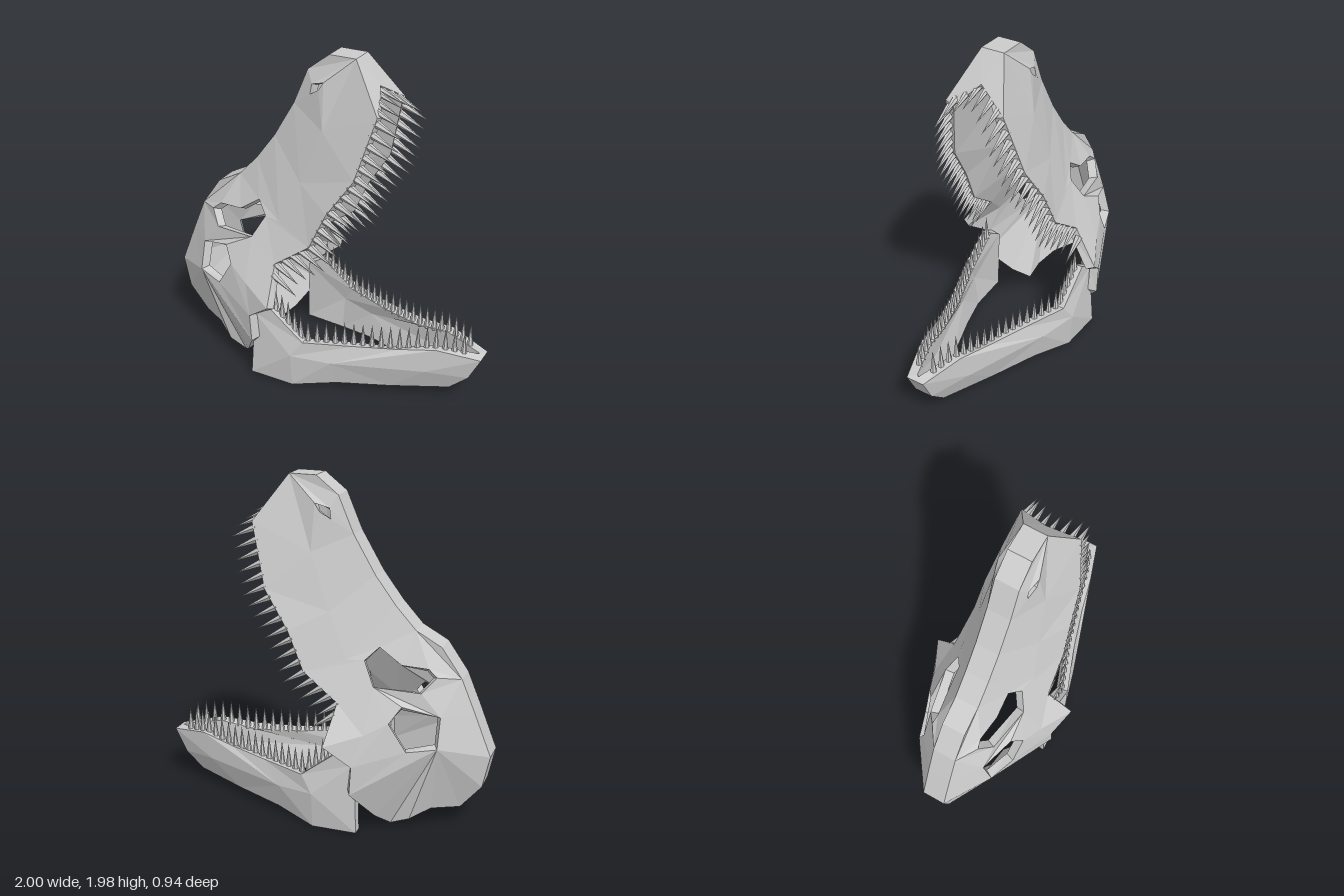
import * as THREE from 'three';

const material = new THREE.MeshStandardMaterial({ color: 0xcccccc, flatShading: true });

// Names a row of points: row('R', [[x, y, z], ...]) gives { R0: Vector3, R1: ... }
const row = (prefix, list) =>
  Object.fromEntries(list.map((p, i) => [prefix + i, new THREE.Vector3(...p)]));

// Symmetric thick shell. Patches are outlines (with optional hole) of the +z side,
// spine is the run of points joined across to the mirrored side.
function makeShell(name, points, patches, spine, thickness, extra = []) {
  const keys = Object.keys(points);
  const n = keys.length;
  const id = (k) => (k.endsWith('-') ? keys.indexOf(k.slice(0, -1)) + n : keys.indexOf(k));
  const outer = keys.map((k) => points[k]);
  outer.push(...outer.map((p) => new THREE.Vector3(p.x, p.y, -p.z)));
  const faces = [];

  // side panels and their mirror image
  for (const [outline, hole = ''] of patches) {
    const rings = [outline, hole].map((s) => s.split(' ').filter(Boolean));
    const [contour, inside] = rings.map((r) => r.map((k) => new THREE.Vector2(points[k].x, points[k].y)));
    const ids = rings.flat().map(id);
    const flat = [...contour, ...inside];
    for (const t of THREE.ShapeUtils.triangulateShape(contour, inside.length ? [inside] : [])) {
      if (THREE.ShapeUtils.area(t.map((i) => flat[i])) < 0) t.reverse();
      const [a, b, c] = t.map((i) => ids[i]);
      faces.push([a, b, c], [c + n, b + n, a + n]);
    }
  }
  // strip across the middle
  for (let i = 0; i + 1 < spine.length; i++) {
    const a = id(spine[i]), b = id(spine[i + 1]);
    faces.push([b, a, a + n], [b, a + n, b + n]);
  }
  for (const f of extra) faces.push(f.split(' ').map(id));

  // inner skin, offset along the averaged normals
  const skin = new THREE.BufferGeometry().setFromPoints(outer);
  skin.setIndex(faces.flat());
  skin.computeVertexNormals();
  const normal = skin.getAttribute('normal');
  const inner = outer.map((p, i) =>
    new THREE.Vector3().fromBufferAttribute(normal, i).multiplyScalar(-thickness).add(p));

  // inner faces, and walls along every open edge
  const m = 2 * n;
  const index = [...faces];
  const edges = new Set(faces.flatMap(([a, b, c]) => [`${a}_${b}`, `${b}_${c}`, `${c}_${a}`]));
  for (const [a, b, c] of faces) {
    index.push([c + m, b + m, a + m]);
    for (const [p, q] of [[a, b], [b, c], [c, a]]) {
      if (!edges.has(`${q}_${p}`)) index.push([q, p, p + m], [q, p + m, q + m]);
    }
  }
  const solid = new THREE.BufferGeometry().setFromPoints([...outer, ...inner]);
  solid.setIndex(index.flat());
  const geometry = solid.toNonIndexed();
  geometry.computeVertexNormals();
  const mesh = new THREE.Mesh(geometry, material);
  mesh.name = name;
  // point on the rim between outer and inner skin, used to seat the teeth
  const rim = (k, depth) => outer[id(k)].clone().lerp(inner[id(k)], depth);
  return { mesh, rim };
}

// Evenly spaced conical teeth along a path, mirrored to both sides
function makeTeeth(name, path, count, radius, length, direction) {
  const group = new THREE.Group();
  group.name = name;
  const cone = new THREE.ConeGeometry(radius, length, 6).translate(0, length / 2 - 0.015, 0);
  const curve = new THREE.CurvePath();
  for (let i = 0; i + 1 < path.length; i++) curve.add(new THREE.LineCurve3(path[i], path[i + 1]));
  const up = new THREE.Vector3(0, 1, 0);
  for (let i = 0; i < count; i++) {
    const t = (i + 0.5) / count;
    const p = curve.getPointAt(t);
    for (const side of [1, -1]) {
      const tooth = new THREE.Mesh(cone, material);
      tooth.name = 'tooth';
      tooth.position.set(p.x, p.y, p.z * side);
      tooth.quaternion.setFromUnitVectors(up, direction(t).normalize());
      group.add(tooth);
    }
  }
  return group;
}

export function createModel() {
  const model = new THREE.Group();
  model.name = 'dinosaurSkull';

  // Skull: ridge, tooth and cheek edge, nostril, upper opening, eye socket, mid panel
  const ridge = [[0.2, 1.98], [0.04, 1.98], [-0.09, 1.88], [-0.18, 1.67], [-0.31, 1.45], [-0.43, 1.29],
    [-0.55, 1.16], [-0.7, 1.08], [-0.82, 0.91], [-0.9, 0.72], [-1, 0.47], [-0.96, 0.28], [-0.84, 0.135]];
  const skullPoints = {
    ...row('R', ridge.map(([x, y]) => [x, y, 0.07])),
    ...row('E', [[0.38, 1.72, 0.18], [0.28, 1.36, 0.25], [0.13, 1.14, 0.28], [0.03, 0.92, 0.3],
      [-0.18, 0.77, 0.32], [-0.15, 0.56, 0.47], [-0.3, 0.44, 0.42], [-0.29, 0.27, 0.42],
      [-0.4, 0.1, 0.29], [-0.47, 0.03, 0.21], [-0.58, 0.075, 0.21], [-0.69, 0.135, 0.15]]),
    ...row('N', [[-0.06, 1.75, 0.105], [-0.05, 1.81, 0.1], [0.03, 1.835, 0.12], [0, 1.79, 0.12]]),
    ...row('A', [[-0.7, 0.93, 0.15], [-0.65, 0.97, 0.14], [-0.5, 0.98, 0.16], [-0.37, 1.07, 0.16],
      [-0.3, 1, 0.21], [-0.37, 0.87, 0.26], [-0.63, 0.85, 0.21]]),
    ...row('O', [[-0.74, 0.72, 0.2], [-0.54, 0.78, 0.27], [-0.48, 0.69, 0.32],
      [-0.58, 0.53, 0.305], [-0.74, 0.55, 0.25]]),
    ...row('M', [[0.04, 1.57, 0.155], [-0.08, 1.25, 0.19], [-0.2, 1, 0.23], [-0.35, 0.62, 0.37]]),
    ...row('C', [[0.31, 1.83, 0]]),
  };
  const skull = makeShell('skull', skullPoints, [
    ['R0 R1 R2 R3 M0 E0', 'N0 N1 N2 N3'],
    ['R3 R4 M1 M0'], ['M0 M1 E1 E0'], ['M1 M2 E3 E2 E1'],
    ['R4 R5 R6 A3 A4 M2 M1'],
    ['R6 R7 R8 A0 A1 A2 A3'],
    ['R8 R9 O0 O1 A5 A6 A0'],
    ['A4 A5 E4 E3'], ['A4 E3 M2'], ['A5 O1 O2 M3 E4'],
    ['M3 E6 E5 E4'], ['O2 O3 E6 M3'],
    ['R9 R10 O4 O0'], ['O4 R10 R11'], ['O4 R11 R12'],
    ['O4 R12 E11'], ['O4 E11 E10'], ['O4 E10 E9'], ['O4 E9 E8'], ['O4 E8 E7'], ['O4 E7 O3'], ['O3 E7 E6'],
  ], ridge.map((_, i) => 'R' + i), 0.055, ['R0 E0 C0', 'R0 C0 R0-', 'R0- C0 E0-']);
  model.add(skull.mesh);

  // Lower jaw: top edge, bottom edge, mid crease
  const jaw = makeShell('lowerJaw', {
    ...row('T', [[-0.3, 0.43, 0.36], [-0.2, 0.49, 0.36], [0.02, 0.32, 0.365], [0.3, 0.32, 0.26],
      [0.55, 0.335, 0.185], [0.76, 0.365, 0.135], [1, 0.32, 0.055]]),
    ...row('B', [[-0.32, 0.02, 0.385], [-0.05, 0.005, 0.37], [0.2, 0.045, 0.28],
      [0.5, 0.055, 0.17], [0.82, 0.08, 0.055], [0.93, 0.18, 0.055]]),
    ...row('M', [[-0.05, 0.22, 0.39], [0.18, 0.2, 0.325], [0.7, 0.21, 0.155]]),
  }, [
    ['T0 B0 M0 T2 T1'], ['B0 B1 M0'], ['B1 M1 M0'], ['B1 B2 M1'], ['M0 M1 T3 T2'],
    ['M1 B2 B3 M2'], ['M1 M2 T5 T4 T3'], ['M2 B3 B4 B5'], ['M2 B5 T6 T5'],
  ], ['B4', 'B5', 'T6'], 0.06);
  model.add(jaw.mesh);

  // Teeth
  const rimPath = (part, names, depth) => names.split(' ').map((k) => part.rim(k, depth));
  const upperPath = rimPath(skull, 'E5 E4 E3 E2 E1 E0', 0.45);
  upperPath[0].lerp(upperPath[1], 0.6);
  const upperDirection = (t) => new THREE.Vector3(0.78 + 0.12 * t, -0.56 + 0.16 * t, 0);
  const frontPath = rimPath(skull, 'E0 C0', 0.45);
  model.add(
    makeTeeth('upperTeeth', upperPath, 19, 0.024, 0.185, upperDirection),
    makeTeeth('frontTeeth', frontPath, 3, 0.02, 0.17, () => new THREE.Vector3(0.9, -0.4, 0)),
  );
  const lowerPath = rimPath(jaw, 'T1 T2 T3 T4 T5 T6', 0.7);
  lowerPath[5].lerp(lowerPath[4], 0.25);
  model.add(makeTeeth('lowerTeeth', lowerPath, 23, 0.02, 0.155, () => new THREE.Vector3(0, 1, 0)));

  return model;
}
